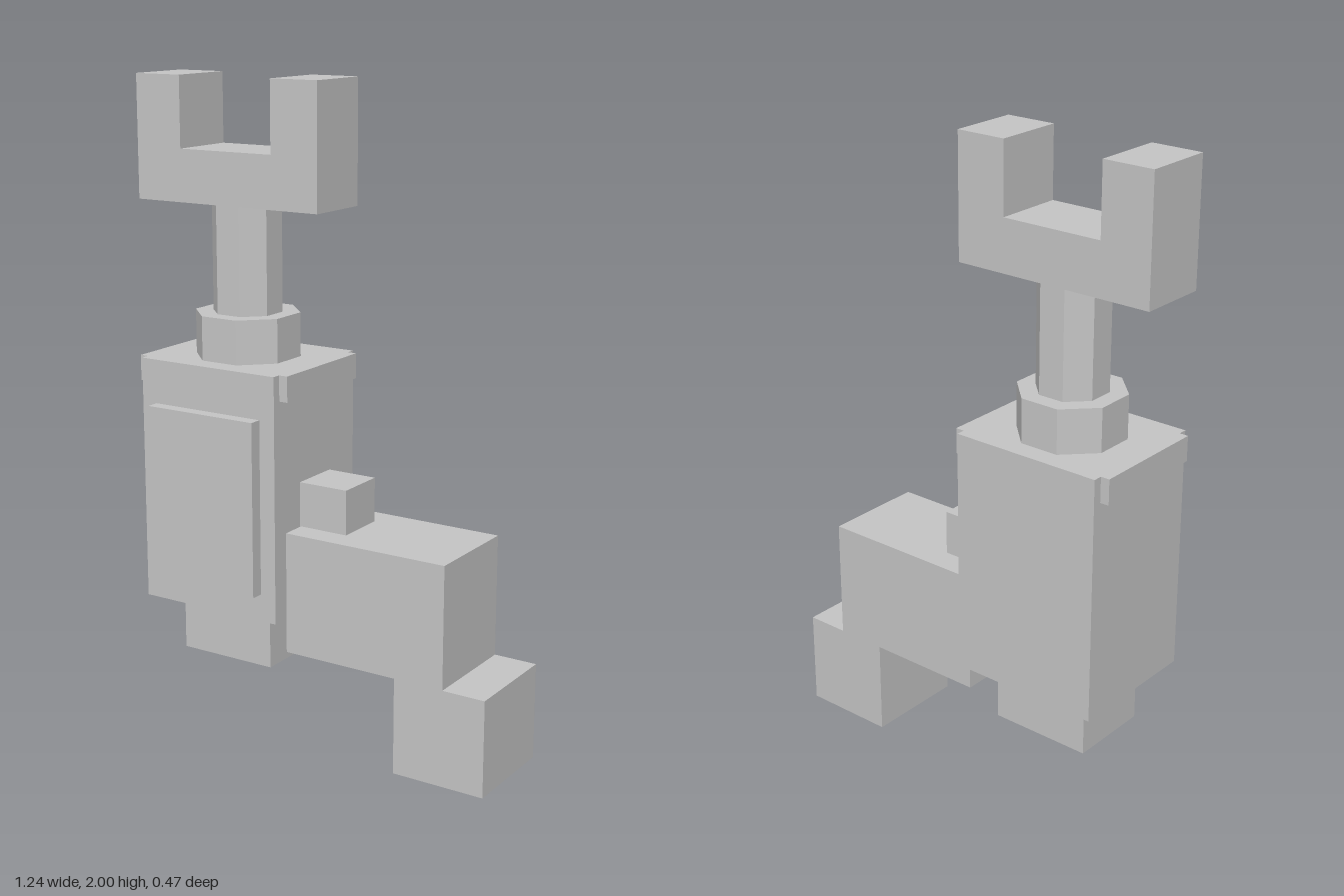
import * as THREE from 'three';

export function createModel() {
  const model = new THREE.Group();
  model.name = 'clampMechanism';
  const grey = new THREE.MeshStandardMaterial({ color: 0xc6c6c6, flatShading: true });
  grey.name = 'plain grey';

  const add = (name, geometry, x, y, z) => {
    const mesh = new THREE.Mesh(geometry, grey);
    mesh.name = name;
    mesh.position.set(x, y, z);
    model.add(mesh);
    return mesh;
  };

  // Box given by its extents on each axis
  const box = (name, [x0, x1], [y0, y1], [z0, z1]) =>
    add(name, new THREE.BoxGeometry(x1 - x0, y1 - y0, z1 - z0),
      (x0 + x1) / 2, (y0 + y1) / 2, (z0 + z1) / 2);

  // Upright octagonal prism with flats facing the axes
  const octagon = (name, apothem, y0, y1) => {
    const r = apothem / Math.cos(Math.PI / 8);
    const geometry = new THREE.CylinderGeometry(r, r, y1 - y0, 8);
    geometry.rotateY(Math.PI / 8);
    return add(name, geometry, -0.3, (y0 + y1) / 2, -0.022);
  };

  // Extrusion of an x-y outline between two depths
  const extrude = (name, points, z0, z1) => {
    const shape = new THREE.Shape(points.map(([x, y]) => new THREE.Vector2(x, y)));
    const geometry = new THREE.ExtrudeGeometry(shape, { depth: z1 - z0, bevelEnabled: false });
    return add(name, geometry, 0, 0, z0);
  };

  // Main housing with front panel, side lips and lower plug
  box('housing', [-0.54, -0.058], [0.405, 1.163], [-0.236, 0.194]);
  box('frontPanel', [-0.488, -0.11], [0.49, 1.028], [0.194, 0.234]);
  box('rightLip', [-0.568, -0.54], [1.085, 1.163], [-0.208, 0.166]);
  box('leftLip', [-0.058, -0.03], [1.085, 1.163], [-0.208, 0.166]);
  box('lowerPlug', [-0.462, -0.138], [0.22, 0.405], [-0.152, 0.108]);

  // Collar, stem and forked head
  octagon('collar', 0.15, 1.163, 1.298);
  octagon('stem', 0.099, 1.298, 1.626);
  extrude('fork', [
    [-0.622, 1.626], [0.022, 1.626], [0.022, 2], [-0.138, 2],
    [-0.138, 1.785], [-0.462, 1.785], [-0.462, 2], [-0.622, 2],
  ], -0.13, 0.086);

  // Stepped side arm and the small block on top of it
  extrude('steppedArm', [
    [-0.055, 0.3], [0.322, 0.3], [0.322, 0], [0.62, 0],
    [0.62, 0.3], [0.483, 0.3], [0.483, 0.677], [-0.055, 0.677],
  ], -0.184, 0.14);
  box('armBlock', [-0.058, 0.105], [0.677, 0.815], [-0.102, 0.06]);

  return model;
}
